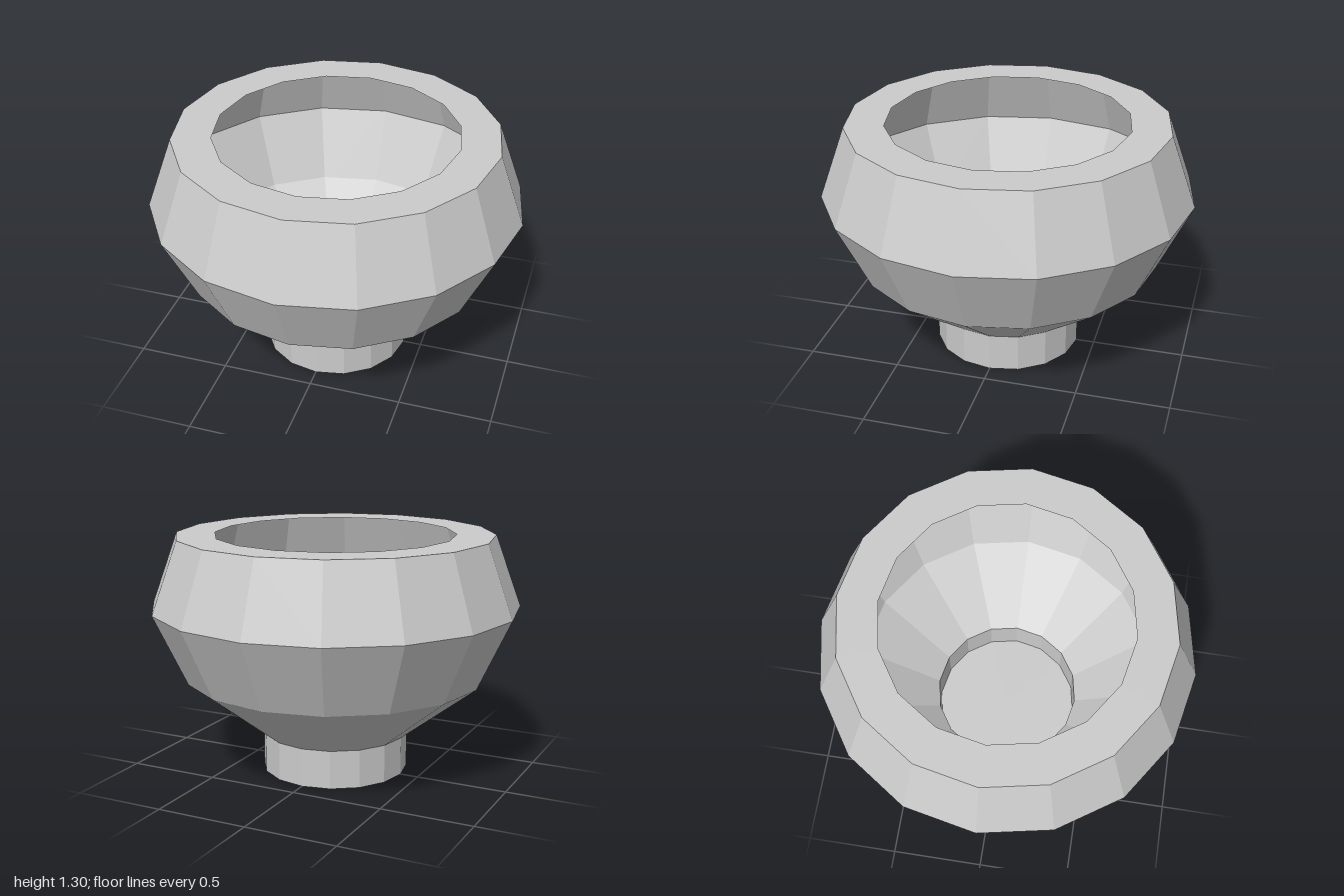
import * as THREE from 'three';

const SIDES = 16;

// Thin faceted shell turned from [radius, height] pairs, listed from bottom to top
function turned(name, profile, material) {
  const points = profile.map(([r, y]) => new THREE.Vector2(r, y));
  const mesh = new THREE.Mesh(new THREE.LatheGeometry(points, SIDES), material);
  mesh.name = name;
  return mesh;
}

export function createModel() {
  const group = new THREE.Group();
  group.name = 'bowl';
  const material = new THREE.MeshStandardMaterial({
    color: 0xcccccc, flatShading: true, side: THREE.DoubleSide,
  });

  // Hollow foot closed by a flat base
  group.add(turned('foot', [[0, 0], [0.4, 0], [0.4, 0.21]], material));

  // Flaring body that turns in at the shoulder
  group.add(turned('body', [[0.4, 0.21], [0.82, 0.535], [1, 0.92], [0.86, 1.305]], material));

  // Flat ring around the opening
  group.add(turned('rim', [[0.86, 1.305], [0.65, 1.305]], material));

  return group;
}
